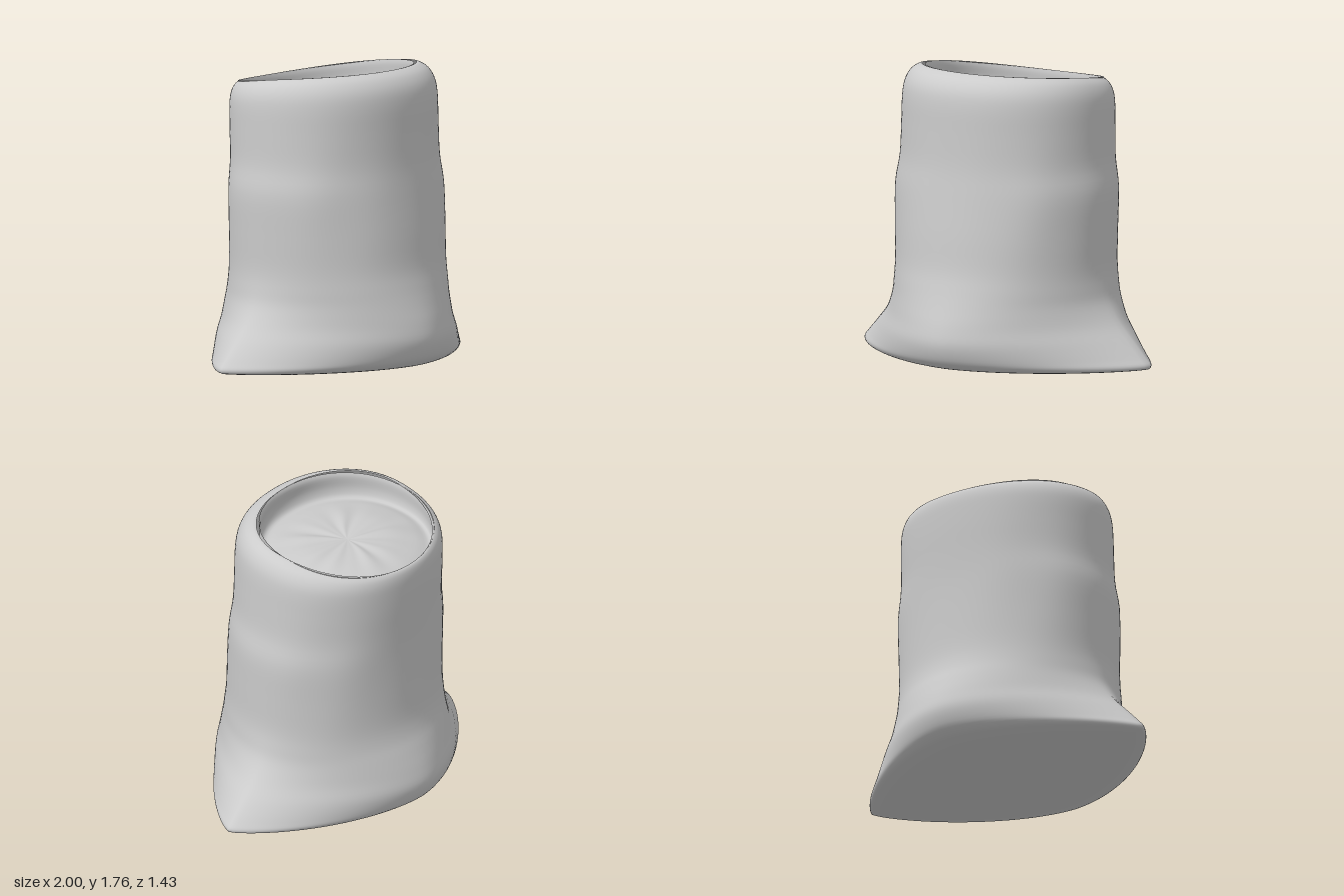
import * as THREE from 'three';

const SEGMENTS = 112;
const STEPS = 4; // loops made between two listed sections

// Sections: [height, tilt toward front, half width, front z, back z, roundness at the sides]
const OUTSIDE = [
  [0.0, 0, 0.0, -0.03, -0.03, 1.4],
  [0.002, 0, 0.35, 0.2, -0.25, 1.4],
  [0.012, 0, 0.75, 0.45, -0.46, 1.35],
  [0.03, 0, 0.96, 0.59, -0.59, 1.27],
  [0.055, 0, 1.0, 0.65, -0.65, 1.24],
  [0.1, 0, 0.965, 0.692, -0.692, 1.22],
  [0.19, 0, 0.88, 0.717, -0.717, 1.28],
  [0.29, 0, 0.785, 0.7, -0.695, 1.42],
  [0.4, 0, 0.712, 0.665, -0.655, 1.68],
  [0.5, 0, 0.684, 0.635, -0.617, 1.87],
  [0.62, 0, 0.67, 0.607, -0.595, 2],
  [0.82, 0, 0.674, 0.587, -0.588, 2.05],
  [1.05, 0, 0.677, 0.56, -0.587, 2.1],
  [1.22, 0, 0.648, 0.542, -0.594, 2.1],
  [1.4, 0.02, 0.64, 0.537, -0.605, 2.1],
  [1.54, 0.06, 0.635, 0.534, -0.61, 2.1],
  [1.62, 0.09, 0.622, 0.517, -0.61, 2.1],
  [1.675, 0.115, 0.592, 0.475, -0.604, 2.1],
  [1.704, 0.13, 0.553, 0.422, -0.594, 2.1],
  [1.71, 0.13, 0.53, 0.395, -0.582, 2.1],
];
const INSIDE = [
  [1.71, 0.13, 0.53, 0.395, -0.582, 2.1],
  [1.68, 0.13, 0.525, 0.385, -0.577, 2.1],
  [1.61, 0.11, 0.527, 0.39, -0.577, 2.1],
  [1.565, 0.09, 0.505, 0.365, -0.555, 2.1],
  [1.585, 0.07, 0.43, 0.29, -0.48, 2],
  [1.612, 0.05, 0.28, 0.15, -0.35, 2],
  [1.617, 0.02, 0.12, 0.02, -0.22, 2],
  [1.612, 0, 0.0, -0.1, -0.1, 2],
];

// Smooth blend through the listed sections
function blend(rows, u) {
  const i = Math.min(Math.floor(u), rows.length - 2), t = u - i;
  const at = k => rows[Math.max(0, Math.min(rows.length - 1, k))];
  return rows[i].map((b, c) => {
    const a = at(i - 1)[c], d = at(i + 1)[c], e = at(i + 2)[c];
    return b + 0.5 * t * (d - a + t * (2 * a - 5 * b + 4 * d - e + t * (3 * (b - d) + e - a)));
  });
}

// Unit outline with its own roundness toward x and z, found along direction a
function outline(a, power) {
  const c = Math.abs(Math.cos(a)), s = Math.abs(Math.sin(a));
  const px = power + (2.1 - power) * 0.55;
  let low = 0, high = 2;
  for (let k = 0; k < 30; k++) {
    const r = (low + high) / 2;
    if ((r * c) ** px + (r * s) ** power < 1) low = r; else high = r;
  }
  return low;
}

// Skin a closed loop for each section; bump returns [radius factor, lift]
function loft(rows, mid, bump) {
  const pos = [], index = [], n = (rows.length - 1) * STEPS;
  for (let i = 0; i <= n; i++) {
    const [y, tilt, w, front, back, power] = blend(rows, i / STEPS);
    for (let j = 0; j < SEGMENTS; j++) {
      const a = j / SEGMENTS * Math.PI * 2, c = Math.cos(a), s = Math.sin(a);
      const [k, lift] = bump(a, y, i / n);
      const r = outline(a, power) * k;
      const z = mid + s * r * (s > 0 ? front - mid : mid - back);
      pos.push(c * r * w, Math.max(0, y + tilt * (z + 0.15 * c * c) + lift), z);
      if (i === n) continue;
      const b = i * SEGMENTS + j, d = i * SEGMENTS + (j + 1) % SEGMENTS;
      index.push(b, b + SEGMENTS, d, d, b + SEGMENTS, d + SEGMENTS);
    }
  }
  const g = new THREE.BufferGeometry();
  g.setAttribute('position', new THREE.Float32BufferAttribute(pos, 3));
  g.setIndex(index);
  g.computeVertexNormals();
  return g;
}

export function createModel() {
  const group = new THREE.Group();
  group.name = 'sack';
  const material = new THREE.MeshStandardMaterial({ color: 0xcccccc, side: THREE.DoubleSide });
  const add = (name, geometry) => {
    const mesh = new THREE.Mesh(geometry, material);
    mesh.name = name;
    group.add(mesh);
  };

  // Cloth body with two drawn-out bottom corners and soft upright creases
  add('clothBody', loft(OUTSIDE, -0.03, (a, y) => {
    const band = Math.exp(-(((y - 1.0) / 0.4) ** 2));
    return [1 + 0.005 * band * Math.sin(2 * a) ** 2 * Math.sin(7 * a + 2 * y), 0];
  }));

  // Rolled inner lip and gathered filling with shallow radial folds
  add('innerLipAndFilling', loft(INSIDE, -0.1, (a, y, v) => {
    const fold = v > 0.5 ? Math.sin((v - 0.5) * 2 * Math.PI) ** 2 : 0;
    return [1, 0.004 * fold * (Math.sin(9 * a) + 0.6 * Math.sin(14 * a + 1))];
  }));
  return group;
}
